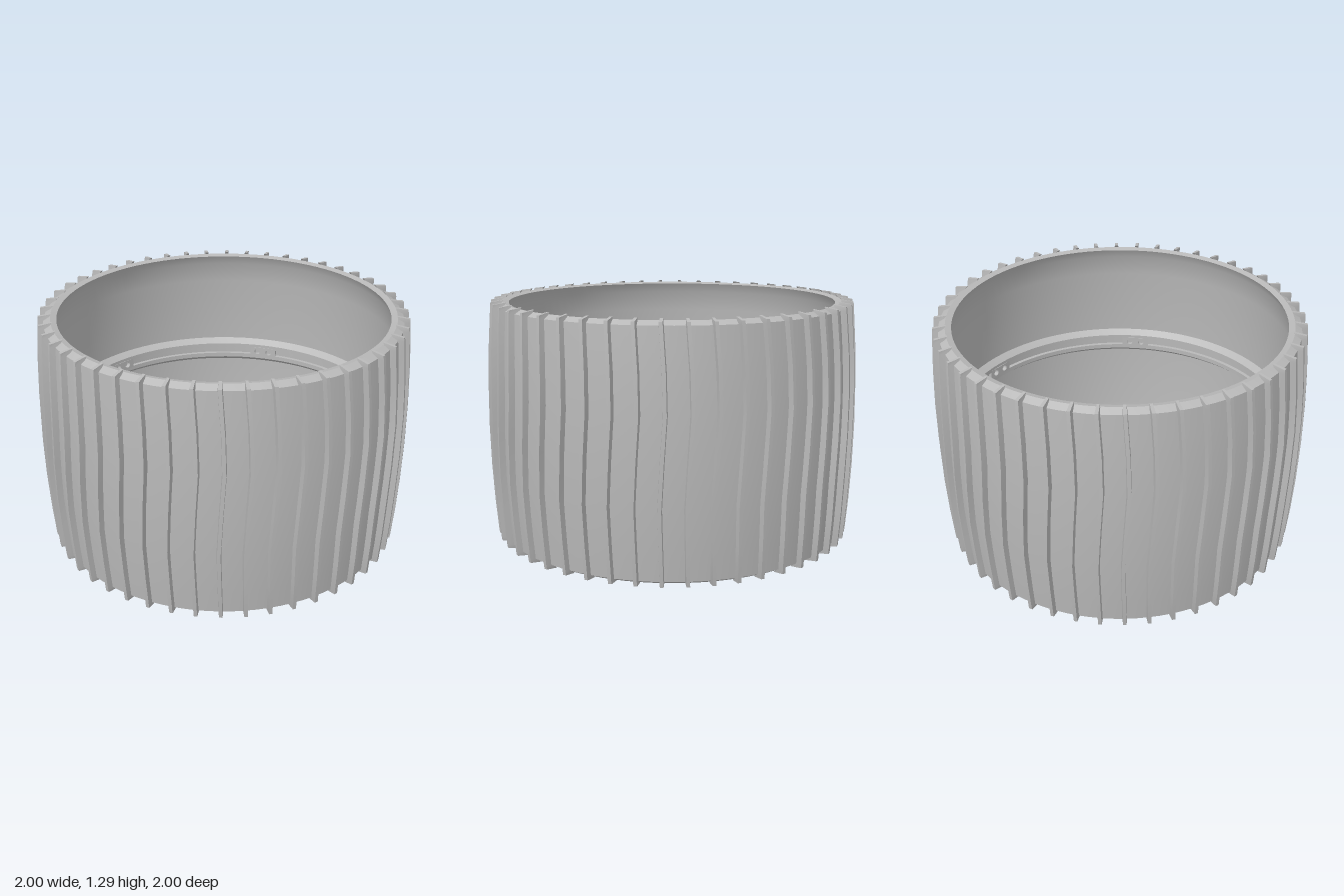
import * as THREE from 'three';
import { toCreasedNormals } from 'three/addons/utils/BufferGeometryUtils.js';

const H = 1.29;      // drum height
const MID = H / 2;
const RIBS = 48;

// Barrel-shaped radius: "end" at the rims, "mid" at half height
const bulge = (y, end, mid) => mid - (mid - end) * ((y - MID) / MID) ** 2;

// Closed cross-section turned round the vertical axis
function turned(points) {
  const pts = [...points, points[0]].map(([r, y]) => new THREE.Vector2(r, y));
  return toCreasedNormals(new THREE.LatheGeometry(pts, 96), 0.45);
}

// Thin barrel shell with rims turned inward
function shellProfile() {
  const steps = 10, y0 = 0.03, y1 = H - 0.03, outer = [], inner = [];
  for (let i = 0; i <= steps; i++) {
    const t = i / steps;
    const yo = y0 + (y1 - y0) * t;
    outer.push([bulge(yo, 0.938, 0.967), yo]);
    const yi = H - 0.07 - (H - 0.14) * t;
    inner.push([bulge(yi, 0.895, 0.932), yi]);
  }
  return [[0.873, 0.018], [0.905, 0.01], ...outer,
    [0.905, H - 0.01], [0.873, H - 0.018], ...inner];
}

// Wavy upright rib, lofted through four-cornered sections with sloping ends
function ribGeometry() {
  const path = [[0.003, 0.002], [0.03, 0.001], [0.2, -0.003], [0.4, -0.007], [0.62, 0.005],
    [0.85, 0.02], [1.05, 0.015], [H - 0.03, 0.001], [H, 0]];
  const pos = [], index = [];
  path.forEach(([y, shift], i) => {
    const end = i === 0 || i === path.length - 1;
    const rIn = end ? 0.9 : bulge(y, 0.92, 0.95);
    const rOut = bulge(y, 0.968, 0.999);
    const base = end ? 0.007 : 0.013;
    const tipY = end ? y + Math.sign(MID - y) * 0.01 : y;
    pos.push(shift - base, y, rIn, shift + base, y, rIn);
    pos.push(shift + 0.009, tipY, rOut, shift - 0.009, tipY, rOut);
    if (i === 0) return;
    for (let k = 0; k < 4; k++) {
      const a = (i - 1) * 4 + k, b = (i - 1) * 4 + (k + 1) % 4;
      index.push(a, a + 4, b, b, a + 4, b + 4);
    }
  });
  const n = (path.length - 1) * 4;
  index.push(0, 1, 2, 0, 2, 3, n, n + 2, n + 1, n, n + 3, n + 2);
  const geo = new THREE.BufferGeometry();
  geo.setAttribute('position', new THREE.Float32BufferAttribute(pos, 3));
  geo.setIndex(index);
  return toCreasedNormals(geo, 0.4);
}

// Small plate with two bolt holes
function padGeometry() {
  const w = 0.08, h = 0.028;
  const shape = new THREE.Shape();
  shape.moveTo(-w, -h);
  shape.lineTo(w, -h);
  shape.lineTo(w, h);
  shape.lineTo(-w, h);
  shape.closePath();
  for (const x of [-0.036, 0.036]) {
    shape.holes.push(new THREE.Path().absarc(x, 0, 0.018, 0, Math.PI * 2, true));
  }
  return new THREE.ExtrudeGeometry(shape, { depth: 0.026, bevelEnabled: false, curveSegments: 8 });
}

export function createModel() {
  const model = new THREE.Group();
  model.name = 'ribbedWheelDrum';
  const metal = new THREE.MeshStandardMaterial({ color: 0xb8b8b8 });
  metal.name = 'grey metal';

  const add = (name, geometry, parent = model) => {
    const mesh = new THREE.Mesh(geometry, metal);
    mesh.name = name;
    parent.add(mesh);
    return mesh;
  };

  add('drumShell', turned(shellProfile()));

  // Inner mounting ring with a groove round its face
  add('mountingRing', turned([
    [0.935, MID - 0.075], [0.935, MID + 0.075], [0.895, MID + 0.045],
    [0.895, MID + 0.02], [0.917, MID + 0.02],
    [0.917, MID - 0.02], [0.895, MID - 0.02], [0.895, MID - 0.045],
  ]));

  // Bolt pads divide the groove into six slots
  const pads = new THREE.Group();
  pads.name = 'boltPads';
  model.add(pads);
  const pad = padGeometry().translate(0, MID, 0.891);
  for (let i = 0; i < 6; i++) {
    add('boltPad', pad, pads).rotation.y = THREE.MathUtils.degToRad(7.5 + i * 60);
  }

  // Tread ribs round the outside
  const ribs = new THREE.Group();
  ribs.name = 'treadRibs';
  model.add(ribs);
  const rib = ribGeometry();
  for (let i = 0; i < RIBS; i++) {
    add('treadRib', rib, ribs).rotation.y = (i / RIBS) * Math.PI * 2;
  }

  return model;
}
